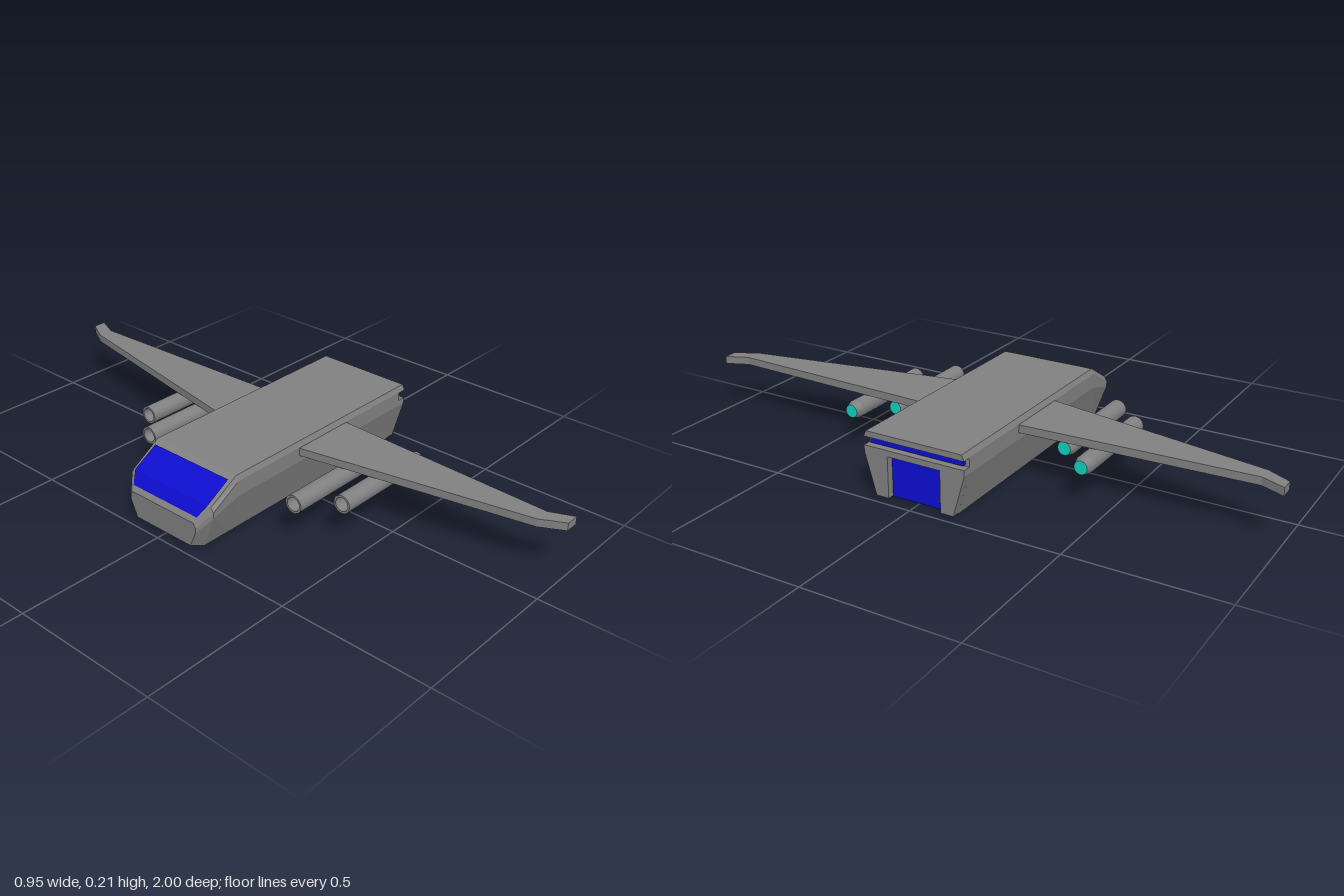
import * as THREE from 'three';

const mat = (name, color, side = THREE.FrontSide) => {
  const m = new THREE.MeshStandardMaterial({ color, side });
  m.name = name;
  return m;
};

// Flat-shaded skin through equal-length sections, with both ends closed
function loft(sections) {
  const pos = [];
  const tri = (...pts) => pts.forEach((p) => pos.push(...p));
  const n = sections[0].length;
  for (let s = 0; s < sections.length - 1; s++) {
    for (let i = 0; i < n; i++) {
      const j = (i + 1) % n;
      const [a, b] = [sections[s][i], sections[s][j]];
      const [c, d] = [sections[s + 1][i], sections[s + 1][j]];
      tri(a, c, b);
      tri(b, c, d);
    }
  }
  const last = sections[sections.length - 1];
  for (let i = 1; i < n - 1; i++) {
    tri(sections[0][0], sections[0][i], sections[0][i + 1]);
    tri(last[0], last[i + 1], last[i]);
  }
  const g = new THREE.BufferGeometry();
  g.setAttribute('position', new THREE.Float32BufferAttribute(pos, 3));
  g.computeVertexNormals();
  return g;
}

// Mirrors a half outline of [z, y] points across z = 0 at station x
const section = (x, half) => [
  ...half.map(([z, y]) => [x, y, z]),
  ...half.slice().reverse().map(([z, y]) => [x, y, -z]),
];

const shapeOf = (pts) => new THREE.Shape(pts.map(([x, y]) => new THREE.Vector2(x, y)));

export function createModel() {
  const grey = mat('hullGrey', 0x808080);
  const blue = mat('blueGlass', 0x0d0dd0, THREE.DoubleSide);
  const teal = mat('tealGlow', 0x10d0bc);
  const model = new THREE.Group();
  model.name = 'transportAircraft';

  const add = (name, geometry, material, parent = model) => {
    const m = new THREE.Mesh(geometry, material);
    m.name = name;
    parent.add(m);
    return m;
  };
  const box = (name, [x0, x1], [y0, y1], halfZ, material) =>
    add(name, new THREE.BoxGeometry(x1 - x0, y1 - y0, halfZ * 2), material)
      .position.set((x0 + x1) / 2, (y0 + y1) / 2, 0);

  // Fuselage with faceted nose
  const main = [[0.135, 0], [0.175, 0.14], [0.175, 0.19], [0.167, 0.207]];
  add('fuselage', loft([
    section(-0.475, [[0.115, 0.01], [0.14, 0.065], [0.14, 0.08], [0.13, 0.095]]),
    section(-0.435, [[0.135, 0], [0.175, 0.11], [0.175, 0.13], [0.165, 0.145]]),
    section(-0.33, main),
    section(0.447, main),
  ]), grey);

  // Roof overhang above the tail slot
  add('roofOverhang', loft([0.447, 0.475].map((x) =>
    section(x, [[0.175, 0.188], [0.175, 0.19], [0.167, 0.207]]))), grey);

  // Tail frame around the recessed door
  const frame = new THREE.ExtrudeGeometry(shapeOf([
    [-0.136, 0.004], [-0.175, 0.14], [-0.175, 0.16], [0.175, 0.16], [0.175, 0.14],
    [0.136, 0.004], [0.092, 0.004], [0.092, 0.14], [-0.092, 0.14], [-0.092, 0.004],
  ]), { depth: 0.028, bevelEnabled: false });
  frame.rotateY(Math.PI / 2).translate(0.447, 0, 0);
  add('tailFrame', frame, grey);
  box('tailDoor', [0.446, 0.452], [0.002, 0.14], 0.092, blue);
  box('tailLightStrip', [0.445, 0.46], [0.165, 0.185], 0.162, blue);

  // Windscreen: two bands following the nose slopes
  const rows = [[-0.465, 0.112, 0.136], [-0.438, 0.148, 0.155], [-0.352, 0.198, 0.155]];
  const glass = [];
  for (let i = 0; i < 2; i++) {
    const [x0, y0, z0] = rows[i];
    const [x1, y1, z1] = rows[i + 1];
    glass.push(x0, y0, -z0, x0, y0, z0, x1, y1, z1, x0, y0, -z0, x1, y1, z1, x1, y1, -z1);
  }
  const screen = new THREE.BufferGeometry();
  screen.setAttribute('position', new THREE.Float32BufferAttribute(glass, 3));
  screen.computeVertexNormals();
  add('windscreen', screen, blue);

  // Belly lights
  box('bellyLightFront', [-0.19, 0.06], [-0.002, 0.003], 0.036, teal);
  box('bellyLightRear', [0.26, 0.36], [-0.002, 0.003], 0.036, teal);

  // Engine body: hollow intake at the front, tapered nozzle at the back
  const v = (r, y) => new THREE.Vector2(r, y);
  const pod = [[v(0.023, 0.06), v(0.023, 0)], [v(0.023, 0), v(0.03, 0)],
    [v(0.03, 0), v(0.03, 0.345)], [v(0.03, 0.345), v(0.022, 0.37)]];
  const podMat = mat('engineGrey', 0x808080, THREE.DoubleSide);

  for (const side of [1, -1]) {
    const sideName = side > 0 ? 'left' : 'right';

    // Swept wing with a raked tip
    const wing = new THREE.ExtrudeGeometry(shapeOf([
      [-0.06, 0.17], [0.085, 0.925], [0.125, 1], [0.17, 1], [0.138, 0.925], [0.168, 0.17],
    ].map(([x, z]) => [x, z * side])), { depth: 0.026, bevelEnabled: false });
    wing.rotateX(Math.PI / 2).translate(0, 0.188, 0);
    add(sideName + 'Wing', wing, grey);

    // Paired engines, the inner one set further forward
    for (const [name, x, z] of [['InnerEngine', -0.24, 0.31], ['OuterEngine', -0.145, 0.415]]) {
      const engine = new THREE.Group();
      engine.name = sideName + name;
      engine.position.set(x, 0.126, z * side);
      engine.rotation.z = -Math.PI / 2;
      pod.forEach((p, i) => add('engineShell' + i, new THREE.LatheGeometry(p, 20), podMat, engine));
      const back = add('intakeBack', new THREE.CircleGeometry(0.023, 20), podMat, engine);
      back.position.y = 0.06;
      back.rotation.x = Math.PI / 2;
      const glow = add('exhaustGlow', new THREE.CircleGeometry(0.022, 20), teal, engine);
      glow.position.y = 0.369;
      glow.rotation.x = -Math.PI / 2;
      model.add(engine);
    }
  }
  return model;
}
